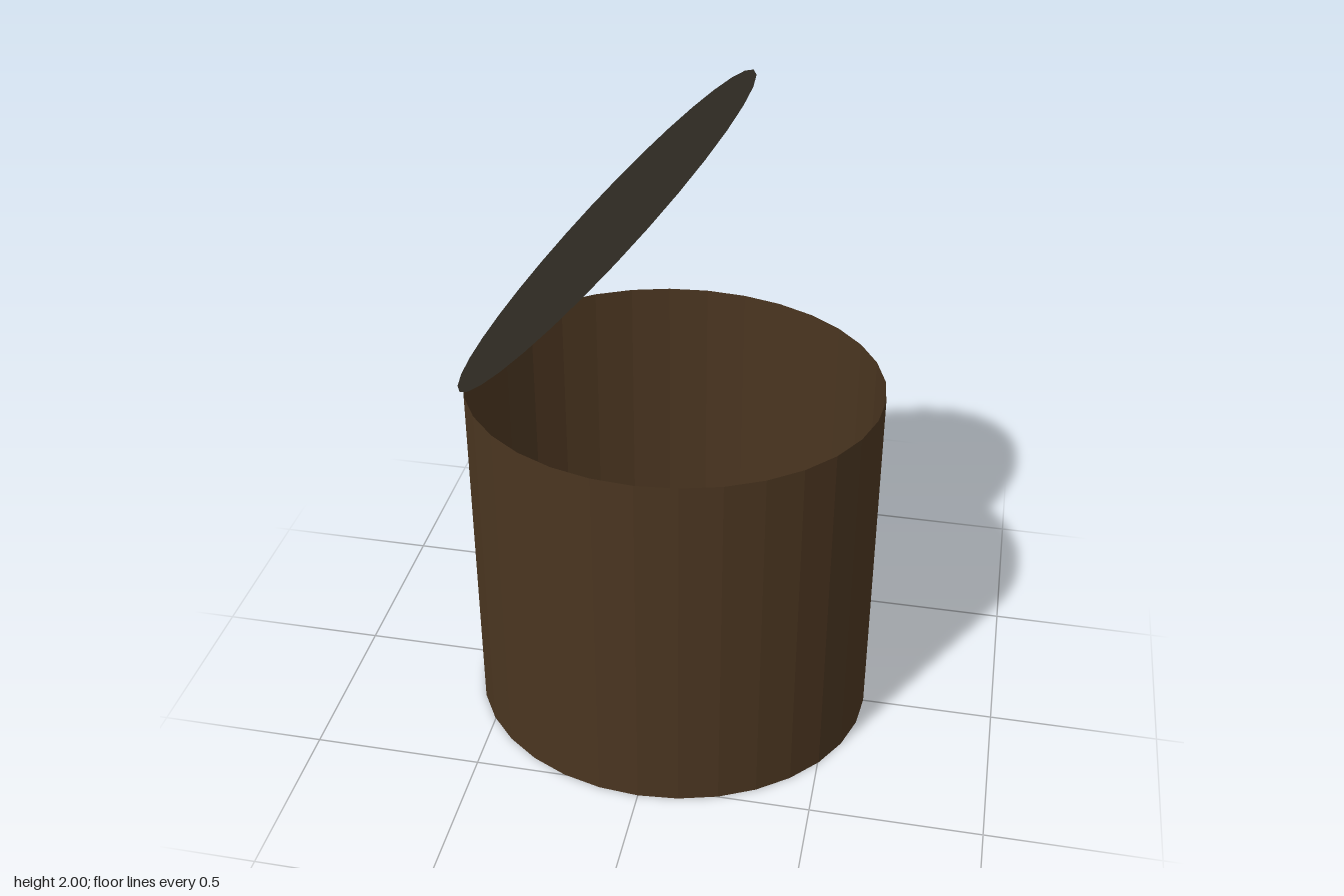
import * as THREE from 'three';

const RX = 0.605, RZ = 0.54, HEIGHT = 1.105, SIDES = 32;

function part(name, geometry, color) {
  const material = new THREE.MeshStandardMaterial({ color, flatShading: true, side: THREE.DoubleSide });
  const mesh = new THREE.Mesh(geometry, material);
  mesh.name = name;
  return mesh;
}

// Flat oval in the ground plane
function oval() {
  return new THREE.CircleGeometry(1, SIDES).rotateX(-Math.PI / 2).scale(RX, 1, RZ);
}

export function createModel() {
  const model = new THREE.Group();
  model.name = 'ovalBin';

  // Thin open wall
  const wallGeometry = new THREE.CylinderGeometry(1, 1, HEIGHT, SIDES, 1, true)
    .scale(RX, 1, RZ)
    .translate(0, HEIGHT / 2, 0);
  model.add(part('wall', wallGeometry, 0x4a3520));

  // Closed bottom
  model.add(part('floor', oval(), 0x4a3520));

  // Lid swung open about the rim at -x
  const lid = part('lid', oval().translate(RX, 0, 0), 0x2e2a22);
  lid.position.set(-RX, HEIGHT, 0);
  lid.rotation.z = Math.atan2(2 - HEIGHT, 0.81);
  model.add(lid);

  return model;
}
